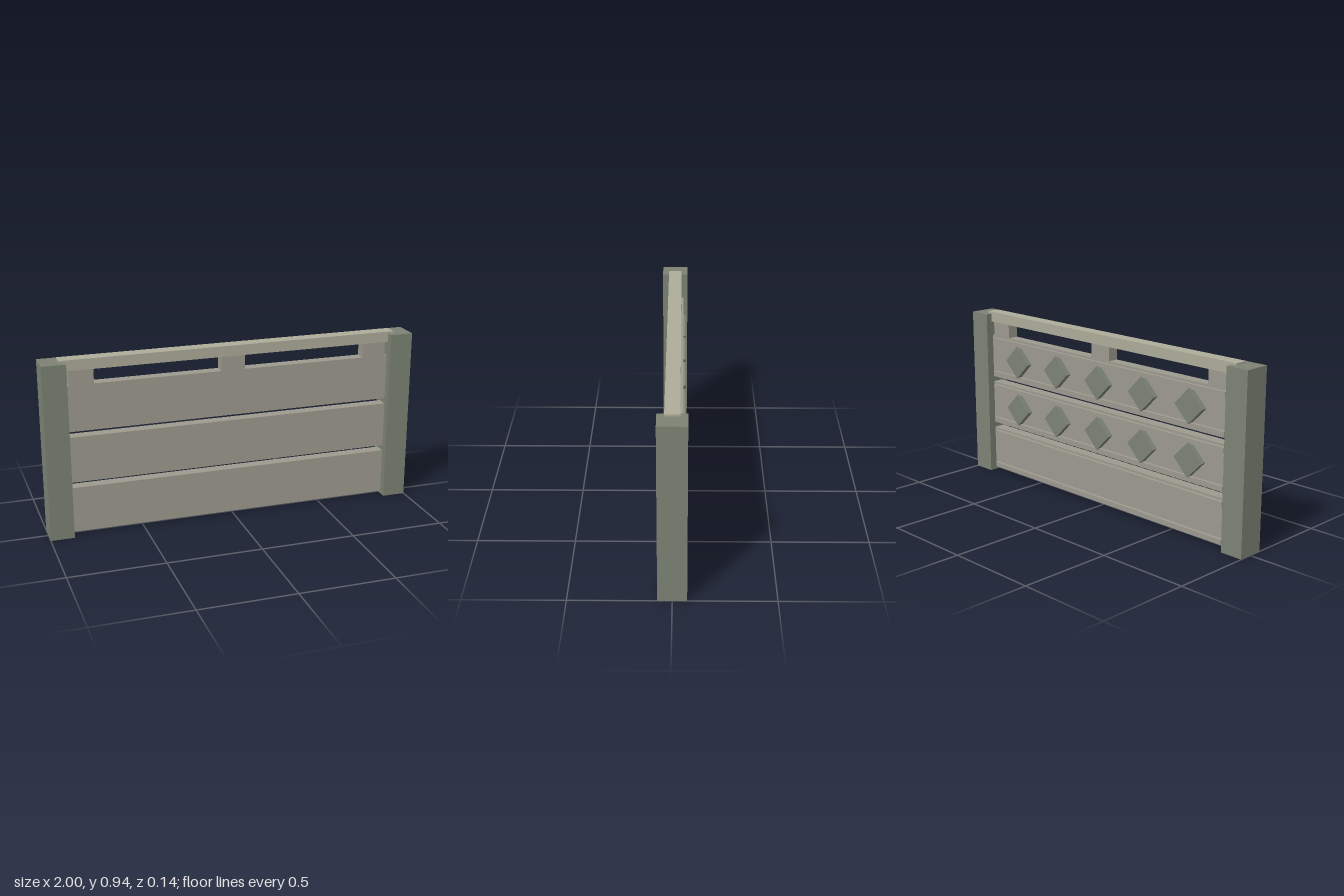
import * as THREE from 'three';

export function createModel() {
  const model = new THREE.Group();
  model.name = 'fencePanel';
  const postMat = new THREE.MeshStandardMaterial({ color: 0x7c8274 });
  const plankMat = new THREE.MeshStandardMaterial({ color: 0x9c9a8e });
  const railMat = new THREE.MeshStandardMaterial({ color: 0xadab98 });

  // Box given by its min and max on each axis
  function box(name, mat, [x0, x1], [y0, y1], [z0, z1]) {
    const mesh = new THREE.Mesh(new THREE.BoxGeometry(x1 - x0, y1 - y0, z1 - z0), mat);
    mesh.position.set((x0 + x1) / 2, (y0 + y1) / 2, (z0 + z1) / 2);
    mesh.name = name;
    model.add(mesh);
    return mesh;
  }

  // End posts
  box('rightPost', postMat, [-1, -0.875], [0, 0.932], [-0.071, 0.071]);
  box('leftPost', postMat, [0.875, 1], [0, 0.932], [-0.071, 0.071]);

  // Top rail, its ends let into the posts
  box('topRail', railMat, [-0.906, 0.906], [0.887, 0.943], [-0.036, 0.036]);

  // Spacer blocks between the top plank and the rail
  for (const x of [-0.797, 0, 0.797]) {
    box('spacerBlock', plankMat, [x - 0.064, x + 0.064], [0.808, 0.888], [-0.03, 0.03]);
  }

  // Planks, each with two thin battens on the back
  [0.015, 0.29, 0.565].forEach((y, row) => {
    const top = y + 0.245;
    box('plank', plankMat, [-0.885, 0.885], [y, top], [-0.03, 0.03]);
    for (const b of [y + 0.012, top - 0.037]) {
      box('backBatten', plankMat, [-0.853, 0.853], [b, b + 0.025], [-0.049, -0.029]);
    }
    // Diamond studs on the back of the upper two planks
    if (row === 0) return;
    for (let i = -2; i <= 2; i++) {
      const x = i * 0.318, c = y + 0.1225, h = 0.064;
      const stud = box('diamondStud', postMat, [x - h, x + h], [c - h, c + h], [-0.059, -0.029]);
      stud.rotation.z = Math.PI / 4;
    }
  });

  return model;
}
